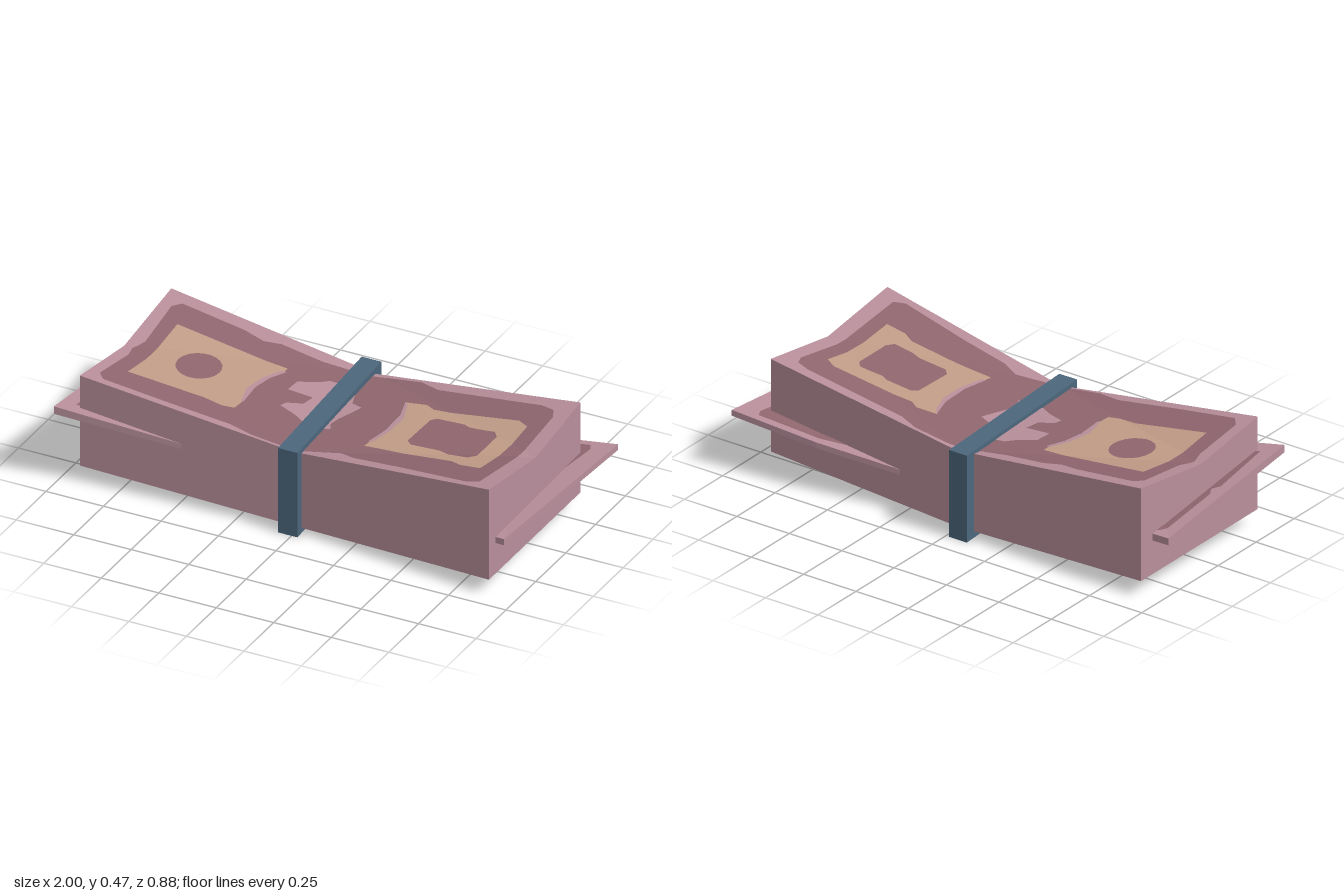
import * as THREE from 'three';

const mat = (name, color) => Object.assign(new THREE.MeshStandardMaterial({ color }), { name });

// Flat-shaded mesh from a plain list of triangle corners
function triMesh(name, positions, material) {
  const g = new THREE.BufferGeometry();
  g.setAttribute('position', new THREE.Float32BufferAttribute(positions, 3));
  g.computeVertexNormals();
  const m = new THREE.Mesh(g, material);
  m.name = name;
  return m;
}

// Closed slab: outline rows are [x, z, yTop, yBottom], facets index the outline
function slab(name, outline, facets, material) {
  const top = (i) => [outline[i][0], outline[i][2], outline[i][1]];
  const low = (i) => [outline[i][0], outline[i][3], outline[i][1]];
  const p = [];
  for (const [a, b, c] of facets) p.push(...top(a), ...top(b), ...top(c), ...low(a), ...low(c), ...low(b));
  outline.forEach((_, i) => {
    const j = (i + 1) % outline.length;
    p.push(...low(i), ...low(j), ...top(j), ...low(i), ...top(j), ...top(i));
  });
  return triMesh(name, p, material);
}

const cross = (a, b, p) => (b[0] - a[0]) * (a[1] - p[1]) - (a[1] - b[1]) * (p[0] - a[0]);

// Cut a polygon to one triangular facet
function clip(poly, tri) {
  let out = poly;
  for (let e = 0; e < 3; e++) {
    const a = tri[e], b = tri[(e + 1) % 3], src = out;
    out = [];
    src.forEach((p, i) => {
      const q = src[(i + 1) % src.length];
      const dp = cross(a, b, p), dq = cross(a, b, q);
      if (dp >= 0) out.push(p);
      if (dp >= 0 !== dq >= 0) {
        const t = dp / (dp - dq);
        out.push([p[0] + (q[0] - p[0]) * t, p[1] + (q[1] - p[1]) * t]);
      }
    });
  }
  return out;
}

// Printed area: an [x, z] polygon laid on the slab's folded top (side 1) or bottom (side -1)
function print(name, poly, outline, facets, side, lift, material) {
  const pos = [];
  for (const f of facets) {
    const tri = f.map((i) => outline[i]);
    const piece = clip(poly, tri);
    if (piece.length < 3) continue;
    const [A, B, C] = tri.map((o) => new THREE.Vector3(o[0], side > 0 ? o[2] : o[3], o[1]));
    const plane = new THREE.Plane().setFromCoplanarPoints(A, B, C);
    const n = plane.normal;
    const y = (q) => -(plane.constant + n.x * q[0] + n.z * q[1]) / n.y + side * lift;
    const flat = piece.map((q) => new THREE.Vector2(q[0], -q[1]));
    for (const t of THREE.ShapeUtils.triangulateShape(flat, [])) {
      const c = t.map((i) => piece[i]);
      if (cross(c[0], c[1], c[2]) * side < 0) c.reverse();
      for (const q of c) pos.push(q[0], y(q), q[1]);
    }
  }
  return triMesh(name, pos, material);
}

export function createModel() {
  const group = new THREE.Group();
  const paper = mat('pink paper', 0xb88f9b);
  const ink = mat('purple ink', 0x90666f);
  const tan = mat('tan ink', 0xc29d88);
  const blue = mat('blue band', 0x4c667c);

  // Stack of notes, pinched at the middle
  const stack = [
    [-0.92, 0.37, 0.47, 0.07], [-0.01, 0.33, 0.35, 0.022], [0.89, 0.43, 0.47, 0.07], [0.89, 0.04, 0.415, 0.07],
    [0.89, -0.335, 0.47, 0.07], [-0.01, -0.355, 0.35, 0.022], [-0.92, -0.395, 0.47, 0.07], [-0.92, 0, 0.415, 0.07],
  ];
  const folds = [[0, 1, 7], [7, 1, 5], [7, 5, 6], [1, 2, 3], [1, 3, 5], [3, 4, 5]];
  group.add(slab('noteStack', stack, folds, paper));

  // Main printed field, on both faces
  const field = [
    [-0.875, 0.29], [-0.84, 0.33], [-0.56, 0.32], [-0.3, 0.305], [-0.2, 0.325], [0, 0.32], [0.17, 0.28], [0.24, 0.31],
    [0.45, 0.335], [0.77, 0.385], [0.815, 0.365], [0.83, -0.22], [0.81, -0.265], [0.75, -0.285], [0.29, -0.3],
    [0.2, -0.335], [0.05, -0.335], [-0.22, -0.31], [-0.4, -0.32], [-0.47, -0.3], [-0.56, -0.32], [-0.84, -0.335],
    [-0.87, -0.3], [-0.86, -0.06], [-0.885, 0], [-0.87, 0.06],
  ];
  for (const side of [1, -1]) {
    group.add(print(side > 0 ? 'topField' : 'bottomField', field, stack, folds, side, 0.002, ink));
  }

  // Tan panels, their dark centres, pale edges and the middle figure
  const leftPanel = [
    [-0.8, -0.215], [-0.31, -0.195], [-0.31, -0.165], [-0.345, -0.09], [-0.36, 0], [-0.345, 0.12],
    [-0.35, 0.175], [-0.4, 0.185], [-0.48, 0.175], [-0.8, 0.2],
  ];
  const rightPanel = [
    [0.21, -0.18], [0.3, -0.19], [0.34, -0.165], [0.71, -0.17], [0.76, -0.14], [0.75, 0.235], [0.66, 0.23],
    [0.61, 0.205], [0.3, 0.195], [0.225, 0.195], [0.23, 0.15], [0.255, 0.05], [0.255, -0.06],
  ];
  const disc = Array.from({ length: 20 }, (_, i) => {
    const a = (i / 20) * Math.PI * 2;
    return [-0.605 + 0.09 * Math.cos(a), -0.02 + 0.095 * Math.sin(a)];
  });
  const window = [
    [0.39, -0.1], [0.51, -0.095], [0.54, -0.08], [0.65, -0.08], [0.675, -0.05], [0.675, 0.12], [0.65, 0.15],
    [0.56, 0.145], [0.52, 0.13], [0.39, 0.125], [0.365, 0.1], [0.37, -0.08],
  ];
  const figure = [
    [-0.24, -0.06], [-0.235, -0.13], [-0.16, -0.175], [-0.13, -0.205], [-0.04, -0.21], [0, -0.16], [0.02, -0.1],
    [0.07, -0.08], [0.05, -0.02], [0.03, 0.03], [0.02, 0.08], [0.04, 0.12], [-0.02, 0.13], [-0.08, 0.12],
    [-0.13, 0.09], [-0.21, 0.06], [-0.2, 0.03], [-0.14, 0], [-0.13, -0.06],
  ];
  const leftEdge = [[-0.32, -0.165], [-0.36, -0.08], [-0.375, 0.02], [-0.35, 0.12], [-0.34, 0.12], [-0.35, 0], [-0.335, -0.09], [-0.3, -0.165]];
  const rightEdge = [[0.21, -0.18], [0.24, -0.08], [0.245, 0.05], [0.225, 0.16], [0.24, 0.16], [0.265, 0.05], [0.265, -0.06], [0.23, -0.16]];
  const topPrints = [
    ['leftPanel', leftPanel, 0.004, tan], ['rightPanel', rightPanel, 0.004, tan],
    ['leftPanelDisc', disc, 0.006, ink], ['rightPanelWindow', window, 0.006, ink],
    ['leftPanelEdge', leftEdge, 0.006, paper], ['rightPanelEdge', rightEdge, 0.006, paper],
    ['middleFigure', figure, 0.004, paper],
  ];
  for (const [name, poly, lift, m] of topPrints) group.add(print(name, poly, stack, folds, 1, lift, m));

  // Tan patches underneath
  const underRight = [[0.71, 0.25], [0.77, -0.13], [0.72, -0.2], [0.63, -0.24], [0.45, -0.13], [0.61, 0.1], [0.66, 0.24]];
  const underLeft = [[-0.75, 0.27], [-0.65, 0.04], [-0.45, -0.24], [-0.46, -0.32], [-0.79, -0.2], [-0.79, 0.1]];
  group.add(print('bottomRightPatch', underRight, stack, folds, -1, 0.004, tan));
  group.add(print('bottomLeftPatch', underLeft, stack, folds, -1, 0.004, tan));

  // Loose notes slipping out at both ends
  const leftNote = [
    [-1, 0.435, 0.345, 0.312], [-0.45, 0.345, 0.265, 0.243], [-0.1, -0.28, 0.2, 0.175], [-1, -0.325, 0.25, 0.22],
  ];
  const leftFolds = [[0, 1, 3], [1, 2, 3]];
  const leftInk = [[-0.94, 0.36], [-0.6, 0.31], [-0.4, -0.25], [-0.93, -0.29], [-0.95, -0.26], [-0.95, 0.02], [-0.93, 0.05], [-0.955, 0.08]];
  const rightNote = [
    [0.3, 0.3, 0.19, 0.165], [0.93, 0.38, 0.235, 0.208], [1, -0.44, 0.26, 0.235], [0.62, -0.41, 0.22, 0.195],
    [0.24, -0.345, 0.18, 0.158],
  ];
  const rightFolds = [[0, 1, 3], [1, 2, 3], [0, 3, 4]];
  const rightInk = [[0.5, 0.25], [0.86, 0.3], [0.89, -0.2], [0.915, -0.37], [0.9, -0.4], [0.62, -0.378], [0.5, -0.34]];
  for (const [name, outline, facets, poly] of [
    ['leftLooseNote', leftNote, leftFolds, leftInk], ['rightLooseNote', rightNote, rightFolds, rightInk],
  ]) {
    group.add(slab(name, outline, facets, paper));
    for (const side of [1, -1]) group.add(print(name + (side > 0 ? 'TopInk' : 'BottomInk'), poly, outline, facets, side, 0.002, ink));
  }

  // Band around the middle, slightly skewed
  const g = new THREE.BoxGeometry(0.085, 0.375, 0.78);
  const p = g.attributes.position;
  for (let i = 0; i < p.count; i++) p.setX(i, p.getX(i) + p.getZ(i) * 0.052);
  g.computeVertexNormals();
  const band = new THREE.Mesh(g, blue);
  band.name = 'band';
  band.position.set(-0.037, 0.1875, -0.02);
  group.add(band);
  return group;
}
